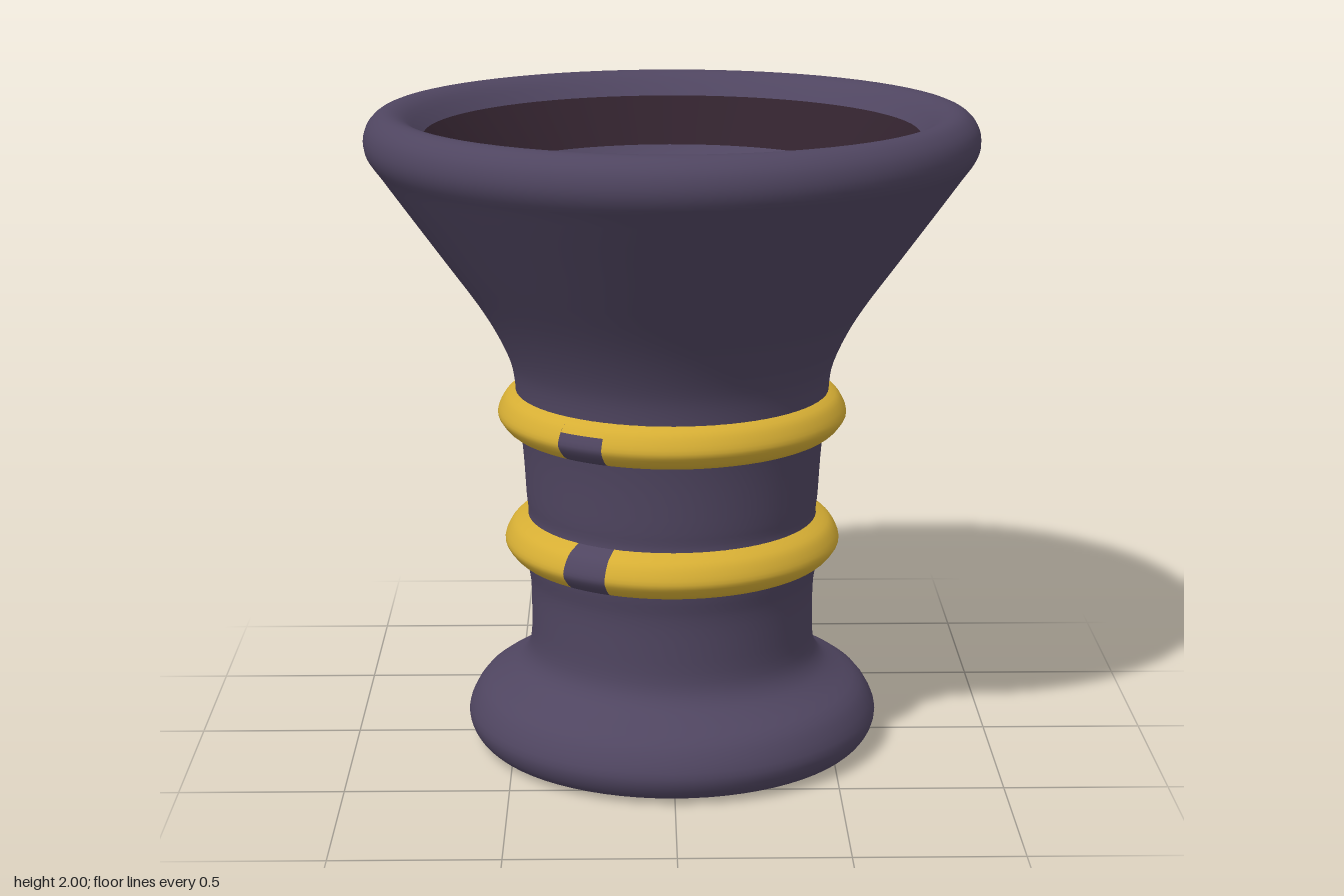
import * as THREE from 'three';

const SEGMENTS = 72;
const material = (name, color) => new THREE.MeshStandardMaterial({ name, color });

// Turned surface through a few [radius, height] points
function turned(name, points, mat, start = 0, sweep = Math.PI * 2, smooth = true) {
  let profile = points.map(([r, y]) => new THREE.Vector2(r, y));
  if (smooth) {
    profile = new THREE.SplineCurve(profile).getPoints((points.length - 1) * 3);
  }
  const segments = Math.max(4, Math.round(SEGMENTS * sweep / (Math.PI * 2)));
  const mesh = new THREE.Mesh(new THREE.LatheGeometry(profile, segments, start, sweep), mat);
  mesh.name = name;
  return mesh;
}

export function createModel() {
  const purple = material('dusky purple', 0x4f4560);
  const gold = material('gold', 0xd6ae34);
  const plum = material('dark plum', 0x30212c);
  const model = new THREE.Group();
  model.name = 'pedestal';

  // Foot, waist, flared bowl and rounded rim
  model.add(turned('body', [
    [0.56, 0.004], [0.61, 0.018], [0.64, 0.06], [0.642, 0.11], [0.60, 0.18], [0.52, 0.228],
    [0.472, 0.265], [0.447, 0.32], [0.443, 0.42], [0.445, 0.52], [0.458, 0.59], [0.465, 0.67],
    [0.45, 0.74], [0.455, 0.80], [0.462, 0.92], [0.47, 1.0], [0.482, 1.08], [0.486, 1.16],
    [0.50, 1.23], [0.54, 1.32], [0.60, 1.42], [0.70, 1.56], [0.825, 1.735], [0.885, 1.82],
    [0.92, 1.87], [0.93, 1.915], [0.918, 1.96], [0.885, 1.993], [0.845, 2.0], [0.80, 1.98],
    [0.75, 1.93],
  ], purple));
  model.add(turned('underside', [[0, 0], [0.56, 0.004]], purple, 0, Math.PI * 2, false));

  // Recessed top with a shallow dished floor
  model.add(turned('recessWall', [[0.75, 1.93], [0.615, 1.79]], plum, 0, Math.PI * 2, false));
  model.add(turned('recessFloor',
    [[0.615, 1.79], [0.585, 1.766], [0.54, 1.748], [0.46, 1.738], [0.25, 1.735], [0, 1.735]], purple));

  // Gold rings, each with a small unpainted gap at the front
  const gapStart = -0.69;
  const gap = 0.28;
  const ringSection = (r, y, inner) => [
    [inner, y - 0.066], [r - 0.036, y - 0.052], [r - 0.01, y - 0.025], [r, y],
    [r - 0.013, y + 0.034], [r - 0.034, y + 0.059], [inner, y + 0.079],
  ];
  const upper = ringSection(0.54, 1.066, 0.465);
  const lower = ringSection(0.523, 0.658, 0.45);
  model.add(turned('upperRing', upper, gold, gapStart + gap, Math.PI * 2 - gap));
  model.add(turned('lowerRing', lower, gold, gapStart + gap, Math.PI * 2 - gap));
  model.add(turned('upperRingGap', upper.slice(0, 5), purple, gapStart, gap));
  model.add(turned('upperRingBridge', upper.slice(4), gold, gapStart, gap));
  model.add(turned('lowerRingGap', lower, purple, gapStart, gap));
  return model;
}
